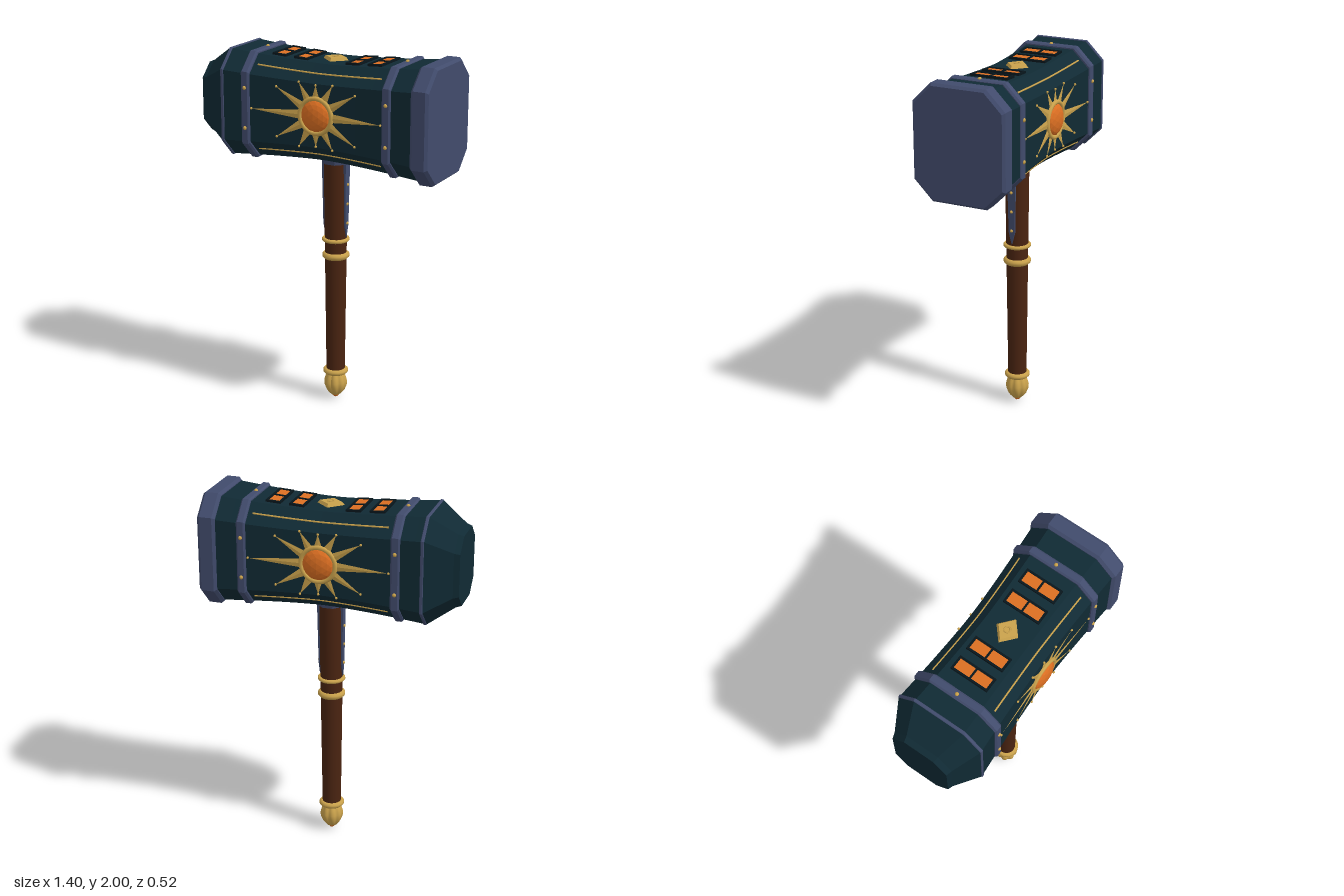
import * as THREE from 'three';

const CX = 0.04, CY = 1.69; // handle axis and head centre height

function mat(name, color, flat = false) {
  const m = new THREE.MeshStandardMaterial({ color, flatShading: flat });
  m.name = name;
  return m;
}

// Half height, half depth and chamfer of the waisted head at x
function headSize(x) {
  const s = Math.pow(Math.abs(x - CX) / 0.57, 1.5);
  return [0.261 + 0.032 * s, 0.22 + 0.026 * s, 0.09 + 0.01 * s];
}

function triangles(pos) {
  const g = new THREE.BufferGeometry();
  g.setAttribute('position', new THREE.Float32BufferAttribute(pos, 3));
  g.computeVertexNormals();
  return g;
}

// Chamfered-rectangle loft along x; sections are [x, halfHeight, halfDepth, chamfer]
function loft(sections) {
  const rings = sections.map(([x, h, d, c]) => [
    [h, c - d], [h, d - c], [h - c, d], [c - h, d], [-h, d - c], [-h, c - d], [c - h, -d], [h - c, -d],
  ].map(([y, z]) => [x, CY + y, z]));
  const pos = [];
  const tri = (...p) => p.forEach((v) => pos.push(...v));
  for (let i = 0; i < rings.length - 1; i++) {
    const a = rings[i], b = rings[i + 1];
    for (let k = 0; k < 8; k++) {
      const n = (k + 1) % 8;
      tri(a[k], a[n], b[n]);
      tri(a[k], b[n], b[k]);
    }
  }
  const first = rings[0], last = rings[rings.length - 1];
  for (let k = 1; k < 7; k++) {
    tri(first[0], first[k + 1], first[k]);
    tri(last[0], last[k], last[k + 1]);
  }
  return triangles(pos);
}

export function createModel() {
  const root = new THREE.Group();
  root.name = 'warHammer';
  const teal = mat('darkTeal', 0x102a34);
  const steel = mat('blueSteel', 0x414b6c);
  const gold = mat('gold', 0xcaa24c);
  const orange = mat('orange', 0xdc6f22, true);
  const wood = mat('brownWood', 0x4a2411);
  const dark = mat('darkFrame', 0x08161c);

  function add(name, geo, material, x = 0, y = 0, z = 0, parent = root) {
    const m = new THREE.Mesh(geo, material);
    m.name = name;
    m.position.set(x, y, z);
    parent.add(m);
    return m;
  }
  const rivetGeo = new THREE.SphereGeometry(0.011, 8, 6);
  const rivet = (x, y, z, parent) => add('rivet', rivetGeo, gold, x, y, z, parent);

  // Head body: tapered tail and waisted block
  const body = [[-0.7, 0.19, 0.163, 0.075], [-0.67, 0.2, 0.172, 0.078]];
  for (let i = 0; i <= 24; i++) {
    const x = -0.53 + (1.14 * i) / 24;
    body.push([x, ...headSize(x)]);
  }
  add('headBody', loft(body), teal);

  // Striking plate, bands and tail trim
  add('strikingPlate', loft([
    [0.6, 0.297, 0.247, 0.1], [0.615, 0.31, 0.26, 0.105], [0.685, 0.31, 0.26, 0.105], [0.7, 0.297, 0.247, 0.1],
  ]), steel);
  function band(name, x, w, t) {
    const [h, d, c] = headSize(x);
    const b = w * 0.18;
    add(name, loft([
      [x - w / 2, h + t * 0.4, d + t * 0.4, c], [x - w / 2 + b, h + t, d + t, c],
      [x + w / 2 - b, h + t, d + t, c], [x + w / 2, h + t * 0.4, d + t * 0.4, c],
    ]), steel);
  }
  band('tailTrim', -0.522, 0.018, 0.004);
  for (const s of [-1, 1]) {
    const x = CX + s * 0.42;
    const [h, d] = headSize(x);
    band('headBand', x, 0.05, 0.012);
    for (const k of [-1, 1]) {
      rivet(x, CY + k * (h + 0.011), 0);
      for (const y of [1.58, 1.8]) rivet(x, y, k * (d + 0.011));
    }
  }

  // Gold lines along the four chamfers
  for (const sy of [-1, 1]) for (const sz of [-1, 1]) {
    const pts = [];
    for (let i = 0; i <= 12; i++) {
      const x = CX - 0.37 + (0.74 * i) / 12;
      const [h, d, c] = headSize(x);
      pts.push(new THREE.Vector3(x, CY + sy * (h - c / 2), sz * (d - c / 2)));
    }
    add('goldLine', new THREE.TubeGeometry(new THREE.CatmullRomCurve3(pts), 24, 0.005, 6), gold);
  }

  // Sun emblem: rays follow the waisted face; repeated on the back
  const rayLength = [0.385, 0.27, 0.2, 0.165];
  const rays = [];
  const tips = [];
  for (let i = 0; i < 12; i++) {
    const a = (i * Math.PI) / 6;
    const q = i % 6;
    const len = rayLength[q > 3 ? 6 - q : q];
    const at = (r, w, lift) => {
      const x = Math.cos(a) * r - Math.sin(a) * w;
      return [x, Math.sin(a) * r + Math.cos(a) * w, headSize(CX + x)[1] + lift];
    };
    const tip = at(len, 0, 0.003), l = at(0.085, 0.025, 0.003), r = at(0.085, -0.025, 0.003), mid = at(0.085, 0, 0.007);
    rays.push(...mid, ...tip, ...l, ...r, ...tip, ...mid);
    tips.push(tip);
  }
  const rayGeo = triangles(rays);
  const tipGeo = new THREE.SphereGeometry(0.007, 8, 6);
  for (const turn of [0, Math.PI]) {
    const sun = new THREE.Group();
    sun.name = 'sunEmblem';
    sun.position.set(CX, CY, 0);
    sun.rotation.y = turn;
    root.add(sun);
    add('sunRays', rayGeo, gold, 0, 0, 0, sun);
    for (const t of tips) add('rayTip', tipGeo, gold, ...t, sun);
    add('gemRing', new THREE.TorusGeometry(0.094, 0.013, 8, 32), gold, 0, 0, 0.224, sun);
    add('sunGem', new THREE.IcosahedronGeometry(0.088, 2), orange, 0, 0, 0.217, sun).scale.z = 0.45;
  }

  // Glowing windows on the top face
  for (const dx of [-0.285, -0.155, 0.155, 0.285]) {
    const win = new THREE.Group();
    win.name = 'topWindow';
    win.position.set(CX + dx, CY + headSize(CX + dx)[0], 0);
    win.rotation.z = Math.sign(dx) * 0.06;
    root.add(win);
    add('windowGlow', new THREE.BoxGeometry(0.066, 0.012, 0.2), orange, 0, 0, 0, win);
    for (const s of [-1, 1]) {
      add('frameSide', new THREE.BoxGeometry(0.011, 0.024, 0.216), dark, s * 0.0355, 0, 0, win);
      add('frameEnd', new THREE.BoxGeometry(0.06, 0.024, 0.011), dark, 0, 0, s * 0.1025, win);
    }
    add('frameBar', new THREE.BoxGeometry(0.06, 0.024, 0.01), dark, 0, 0, 0, win);
  }

  // Gold diamond on the top face
  const diamondMat = gold;
  const diamondGeo = new THREE.CylinderGeometry(0.062, 0.078, 0.018, 4).toNonIndexed();
  diamondGeo.computeVertexNormals();
  add('topDiamond', diamondGeo, diamondMat, CX, 1.959, 0).scale.z = 0.85;
  const knob = add('diamondRing', new THREE.TorusGeometry(0.016, 0.004, 6, 16), gold, CX, 1.968, 0);
  knob.rotation.x = Math.PI / 2;

  // Handle and collar
  add('handle', new THREE.CylinderGeometry(0.067, 0.052, 1.3, 20), wood, CX, 0.8, 0);
  const collarGeo = new THREE.CylinderGeometry(0.085, 0.076, 0.06, 8).rotateY(Math.PI / 8).toNonIndexed();
  collarGeo.computeVertexNormals();
  add('collar', collarGeo, steel, CX, 1.417, 0);

  // Pointed side straps with rivets
  const strap = new THREE.Shape([
    [-0.025, 1.41], [-0.018, 1.04], [0, 0.97], [0.018, 1.04], [0.025, 1.41],
  ].map(([x, y]) => new THREE.Vector2(x, y - 1.2)));
  const strapGeo = new THREE.ExtrudeGeometry(strap, { depth: 0.03, bevelEnabled: false }).rotateY(Math.PI / 2);
  for (const s of [0, Math.PI]) {
    const side = new THREE.Group();
    side.name = 'sideStrap';
    side.position.set(CX, 1.2, 0);
    side.rotation.y = s;
    root.add(side);
    const lean = new THREE.Group();
    lean.name = 'strapParts';
    lean.position.x = 0.041;
    lean.rotation.z = -0.015;
    side.add(lean);
    add('strap', strapGeo, steel, 0, 0, 0, lean);
    for (const y of [1.05, 1.16, 1.27]) rivet(0.03, y - 1.2, 0, lean).scale.setScalar(0.8);
  }

  // Gold grip rings: [y, radius, height]
  for (const [y, r, h] of [[0.95, 0.076, 0.02], [0.858, 0.075, 0.036], [0.166, 0.07, 0.03]]) {
    const b = h * 0.3;
    const profile = [[0.045, -h / 2], [r - b, -h / 2], [r, -h / 2 + b], [r, h / 2 - b], [r - b, h / 2], [0.045, h / 2]];
    add('gripRing', new THREE.LatheGeometry(profile.map((p) => new THREE.Vector2(...p)), 28), gold, CX, y, 0);
  }

  // Lobed pommel with a small gem at the bottom
  const pommel = new THREE.LatheGeometry([
    [0.004, 0.014], [0.028, 0.02], [0.05, 0.045], [0.062, 0.075], [0.064, 0.1], [0.056, 0.13], [0.042, 0.155],
  ].map((p) => new THREE.Vector2(...p)), 48);
  const p = pommel.attributes.position;
  for (let i = 0; i < p.count; i++) {
    const x = p.getX(i), z = p.getZ(i);
    const k = 0.88 + 0.14 * Math.abs(Math.sin(4 * Math.atan2(z, x)));
    p.setXYZ(i, x * k, p.getY(i), z * k);
  }
  pommel.computeVertexNormals();
  add('pommel', pommel, gold, CX, 0, 0);
  add('pommelGem', new THREE.IcosahedronGeometry(0.02, 1), orange, CX, 0.02, 0);

  return root;
}
